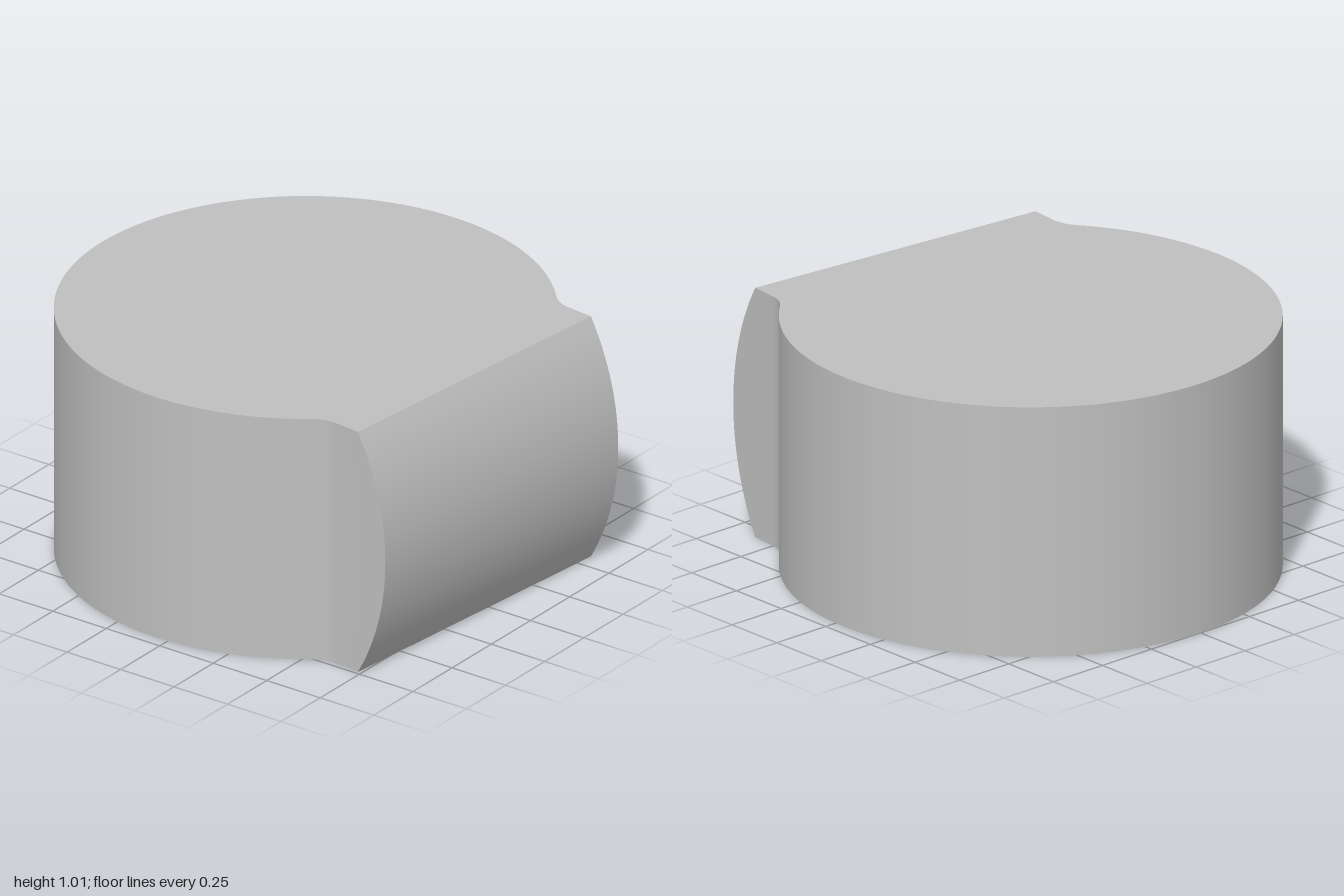
import * as THREE from 'three';
import { toCreasedNormals } from 'three/addons/utils/BufferGeometryUtils.js';

const HEIGHT = 1.01;
const RADIUS = 0.95;      // round body
const HALF_WIDTH = 0.66;  // flat-sided neck
const FILLET = 0.15;      // blend between body and neck
const END_RADIUS = 0.99;  // barrel-curved end face

// Points along an arc, leaving out the first one
function arc(cx, cy, r, from, to, n) {
  return Array.from({ length: n }, (_, i) => {
    const a = from + ((to - from) * (i + 1)) / n;
    return new THREE.Vector2(cx + r * Math.cos(a), cy + r * Math.sin(a));
  });
}

// Plan outline: a disc with a filleted, straight-sided neck
function planShape() {
  const fy = HALF_WIDTH + FILLET;
  const fx = Math.sqrt((RADIUS + FILLET) ** 2 - fy ** 2);
  const t = Math.atan2(fy, fx);
  return new THREE.Shape([
    new THREE.Vector2(END_RADIUS, -HALF_WIDTH),
    new THREE.Vector2(END_RADIUS, HALF_WIDTH),
    new THREE.Vector2(fx, HALF_WIDTH),
    ...arc(fx, fy, FILLET, -Math.PI / 2, t - Math.PI, 12),
    ...arc(0, 0, RADIUS, t, 2 * Math.PI - t, 120),
    ...arc(fx, -fy, FILLET, Math.PI - t, Math.PI / 2, 12),
  ]);
}

export function createModel() {
  const group = new THREE.Group();
  const grey = new THREE.MeshStandardMaterial({ color: 0xc0c0c0 });
  grey.name = 'light grey';

  const solid = new THREE.ExtrudeGeometry(planShape(), {
    depth: HEIGHT, steps: 32, bevelEnabled: false,
  });

  // Bend the end face into a cylinder lying across the neck
  const pos = solid.attributes.position;
  for (let i = 0; i < pos.count; i++) {
    if (pos.getX(i) > END_RADIUS - 0.01) {
      const h = pos.getZ(i) - HEIGHT / 2;
      pos.setX(i, Math.sqrt(END_RADIUS ** 2 - h ** 2));
    }
  }

  // Stand upright, with the neck turned slightly to the front
  solid.rotateX(-Math.PI / 2);
  solid.rotateY(THREE.MathUtils.degToRad(-5.5));
  solid.translate(-0.05, 0, 0);

  const body = new THREE.Mesh(toCreasedNormals(solid, 0.4), grey);
  body.name = 'roundBodyWithCurvedEnd';
  group.add(body);
  return group;
}
